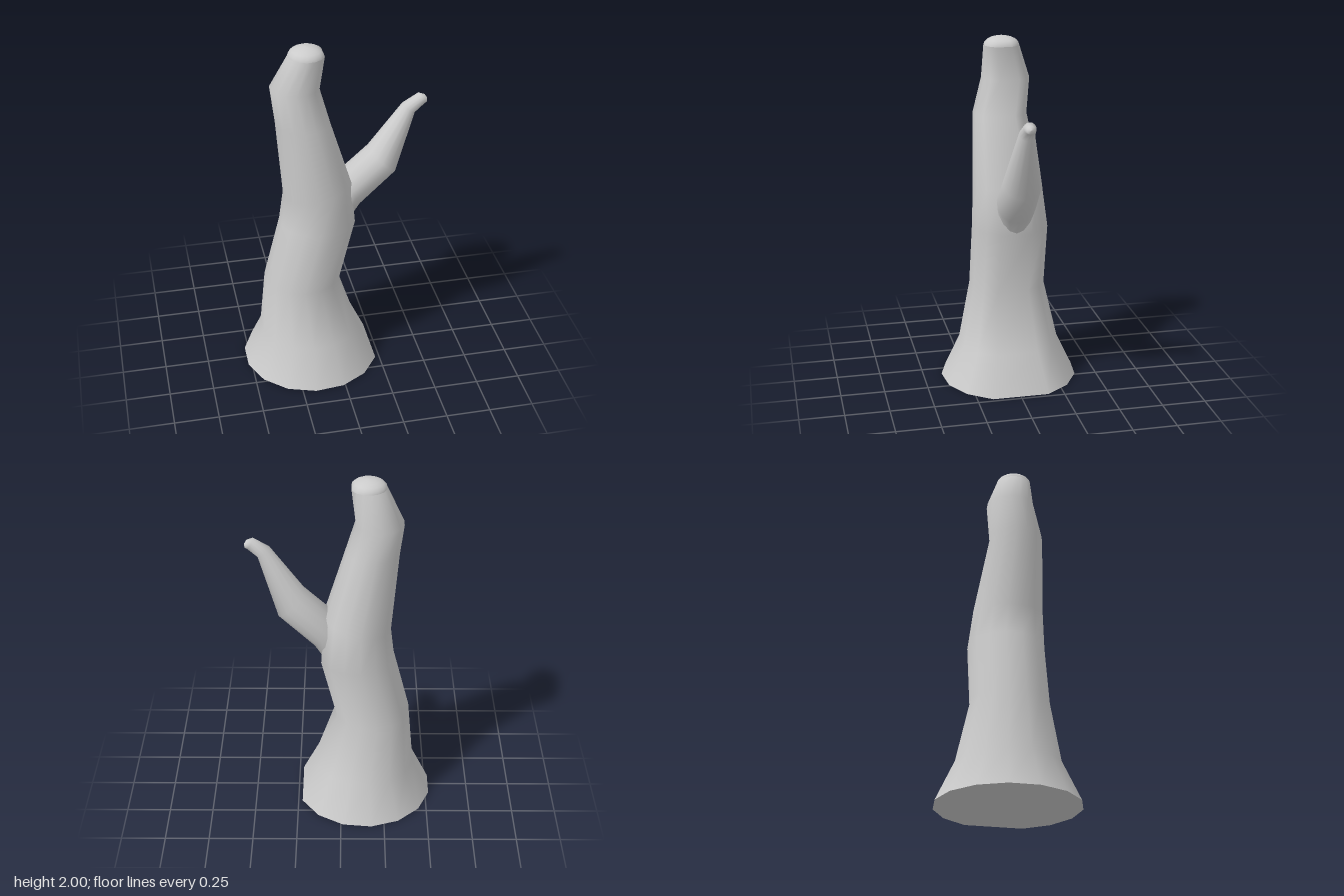
import * as THREE from 'three';

const material = new THREE.MeshStandardMaterial({ color: 0xcccccc });

// Joins rings [x, y, z, radius, tilt] into a smooth skin; angles run from +x towards +z.
function loft(name, rings, angles) {
  const n = angles.length, positions = [], index = [];
  for (const [x, y, z, r, tilt = 0] of rings) {
    for (const t of angles) {
      const u = r * Math.cos(t);
      positions.push(x + u * Math.cos(tilt), y + u * Math.sin(tilt), z + r * Math.sin(t));
    }
  }
  for (let i = 0; i < rings.length - 1; i++) {
    for (let j = 0; j < n; j++) {
      const a = i * n + j, b = i * n + (j + 1) % n;
      index.push(a, a + n, b, b, a + n, b + n);
    }
  }
  const geometry = new THREE.BufferGeometry();
  geometry.setAttribute('position', new THREE.Float32BufferAttribute(positions, 3));
  geometry.setIndex(index);
  geometry.computeVertexNormals();
  const mesh = new THREE.Mesh(geometry, material);
  mesh.name = name;
  return mesh;
}

export function createModel() {
  const tree = new THREE.Group();
  tree.name = 'bareTree';

  // Fifteen-step circle with its +x corner cut away
  const trunkAngles = Array.from({ length: 14 }, (_, k) => (k + 1) * Math.PI * 2 / 15);
  const branchAngles = Array.from({ length: 14 }, (_, k) => k * Math.PI / 7);

  // Flared, winding trunk
  tree.add(loft('trunk', [
    [-0.134, 0, 0, 0.395],
    [-0.136, 0.22, 0, 0.291],
    [-0.178, 0.56, 0, 0.217],
    [-0.086, 0.93, 0, 0.215],
    [-0.088, 1.15, 0.012, 0.196, 0.22],
    [-0.168, 1.57, 0.04, 0.151],
    [-0.203, 1.76, 0, 0.135],
    [-0.145, 1.95, 0.033, 0.099],
  ], trunkAngles));

  // Flat underside
  tree.add(loft('trunkBase', [[-0.134, 0, 0, 0], [-0.134, 0, 0, 0.395]], trunkAngles));

  // Rounded top of the trunk
  const dome = [];
  for (let i = 0; i <= 5; i++) {
    const a = i / 5 * Math.PI / 2;
    dome.push([-0.145, 1.95 + 0.05 * Math.sin(a), 0.033, 0.099 * Math.cos(a)]);
  }
  tree.add(loft('trunkTop', dome, trunkAngles));

  // Side branch, rooted inside the trunk and closed at the tip
  tree.add(loft('branch', [
    [0.03, 0.96, 0, 0.08, -0.4],
    [0.1, 1.11, 0, 0.112, -1.1],
    [0.275, 1.275, 0.005, 0.106, -0.785],
    [0.417, 1.577, 0.015, 0.043, -0.65],
    [0.488, 1.628, 0.015, 0.034, -1.05],
    [0.512, 1.625, 0.015, 0.022, -1.3],
    [0.52, 1.625, 0.015, 0, -1.3],
  ], branchAngles));

  return tree;
}
